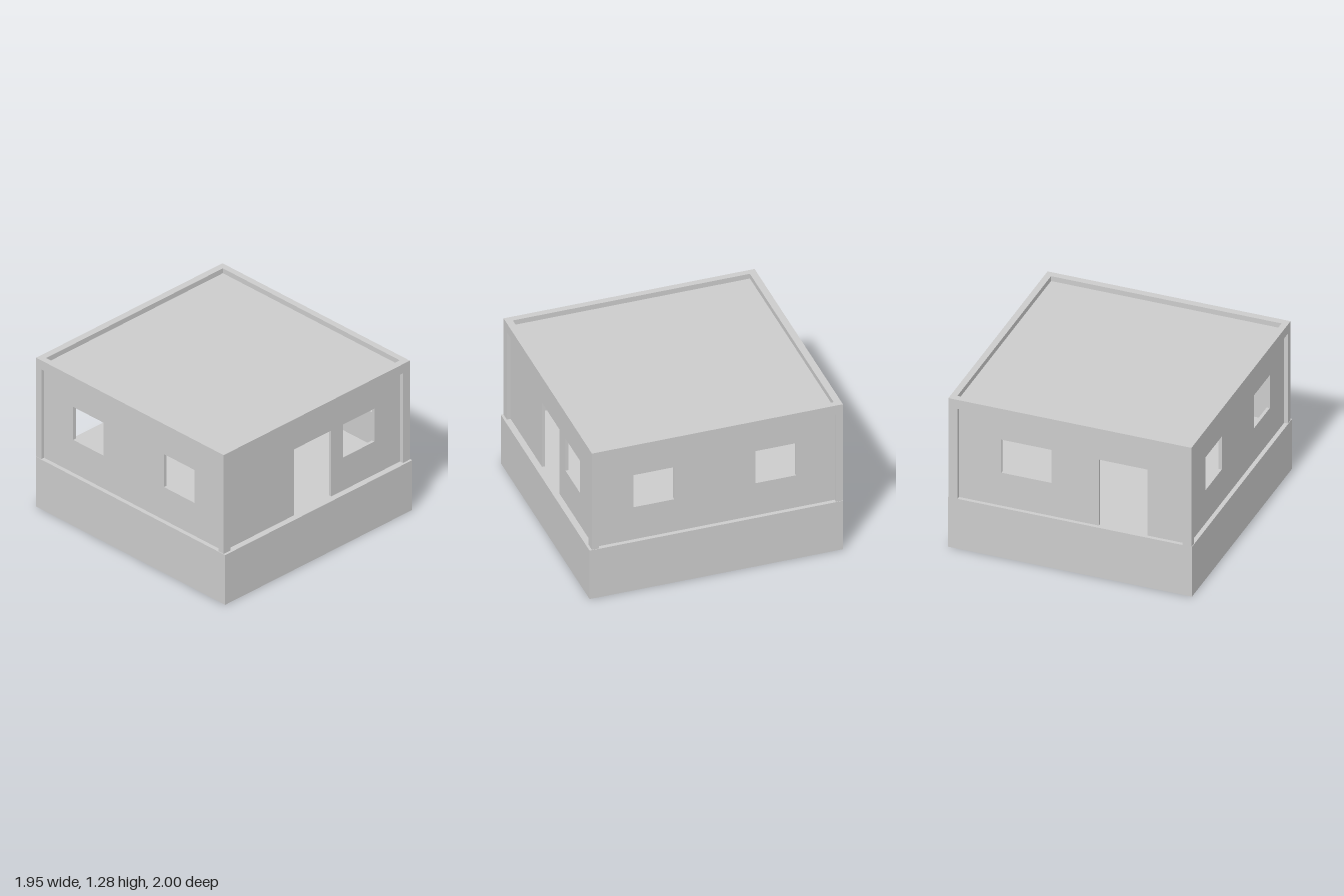
import * as THREE from 'three';

const material = new THREE.MeshStandardMaterial({ color: 0xcccccc });
const FLOOR = 0.43, BEAM = 1.207, TOP = 1.285, ROOF = 1.243;
const HX = 0.972, HZ = 0.99;          // half sizes of the frame
const WX = 0.942, WZ = 0.96;          // outer faces of the recessed walls
const WALL = 0.025;
const SILL = 0.715, HEAD = 1.0;

function add(parent, name, geometry, x = 0, y = 0, z = 0) {
  const mesh = new THREE.Mesh(geometry, material);
  mesh.name = name;
  mesh.position.set(x, y, z);
  parent.add(mesh);
  return mesh;
}

// Box given by its two corners
function block(parent, name, [x0, y0, z0], [x1, y1, z1]) {
  return add(parent, name, new THREE.BoxGeometry(x1 - x0, y1 - y0, z1 - z0),
    (x0 + x1) / 2, (y0 + y1) / 2, (z0 + z1) / 2);
}

function rectangle(Type, x0, y0, x1, y1) {
  return new Type([[x0, y0], [x1, y0], [x1, y1], [x0, y1]].map(p => new THREE.Vector2(...p)));
}

// Wall panel whose outer face lies on z = 0, with window holes and an optional door notch
function wallGeometry(half, windows, door) {
  const shape = new THREE.Shape();
  shape.moveTo(-half, FLOOR);
  if (door) {
    shape.lineTo(door[0], FLOOR);
    shape.lineTo(door[0], HEAD);
    shape.lineTo(door[1], HEAD);
    shape.lineTo(door[1], FLOOR);
  }
  shape.lineTo(half, FLOOR);
  shape.lineTo(half, BEAM);
  shape.lineTo(-half, BEAM);
  shape.closePath();
  for (const [a, b] of windows) shape.holes.push(rectangle(THREE.Path, a, SILL, b, HEAD));
  return new THREE.ExtrudeGeometry(shape, { depth: WALL, bevelEnabled: false }).translate(0, 0, -WALL);
}

export function createModel() {
  const model = new THREE.Group();
  model.name = 'house';

  // Solid plinth
  block(model, 'plinth', [-0.976, 0, -1], [0.976, FLOOR, 1]);

  // Upper storey sits slightly back from the plinth front
  const upper = new THREE.Group();
  upper.name = 'upperStorey';
  upper.position.z = -0.01;
  model.add(upper);

  // Front and back walls with a door and a window each
  add(upper, 'frontWall', wallGeometry(WX, [[0.305, 0.63]], [-0.21, 0.18]), 0, 0, WZ);
  const back = add(upper, 'backWall', wallGeometry(WX, [[-0.56, -0.16]], [0.22, 0.61]), 0, 0, -WZ);
  back.rotation.y = Math.PI;

  // Side walls with two windows each
  for (const side of [1, -1]) {
    const windows = [[-0.65 * side, -0.33 * side], [0.31 * side, 0.63 * side]]
      .map(w => w.map(v => v * side - 0.0).sort((a, b) => a - b))
      .map(([a, b]) => side > 0 ? [a, b] : [-b, -a]);
    const wall = add(upper, side > 0 ? 'leftWall' : 'rightWall',
      wallGeometry(WZ - WALL, windows), side * WX, 0, 0);
    wall.rotation.y = side * Math.PI / 2;
  }

  // Corner posts
  for (const sx of [-1, 1]) for (const sz of [-1, 1]) {
    add(upper, 'cornerPost', new THREE.BoxGeometry(0.072, BEAM - FLOOR, 0.054),
      sx * (HX - 0.036), (FLOOR + BEAM) / 2, sz * (HZ - 0.027));
  }

  // Ring beam rising into a parapet
  const ring = rectangle(THREE.Shape, -HX, -HZ, HX, HZ);
  ring.holes.push(rectangle(THREE.Path, -0.922, -0.935, 0.922, 0.935));
  add(upper, 'parapet', new THREE.ExtrudeGeometry(ring, { depth: TOP - BEAM, bevelEnabled: false })
    .rotateX(-Math.PI / 2), 0, BEAM, 0);

  // Flat roof slab inside the parapet
  block(upper, 'roofSlab', [-0.922, BEAM, -0.935], [0.922, ROOF, 0.935]);

  return model;
}
